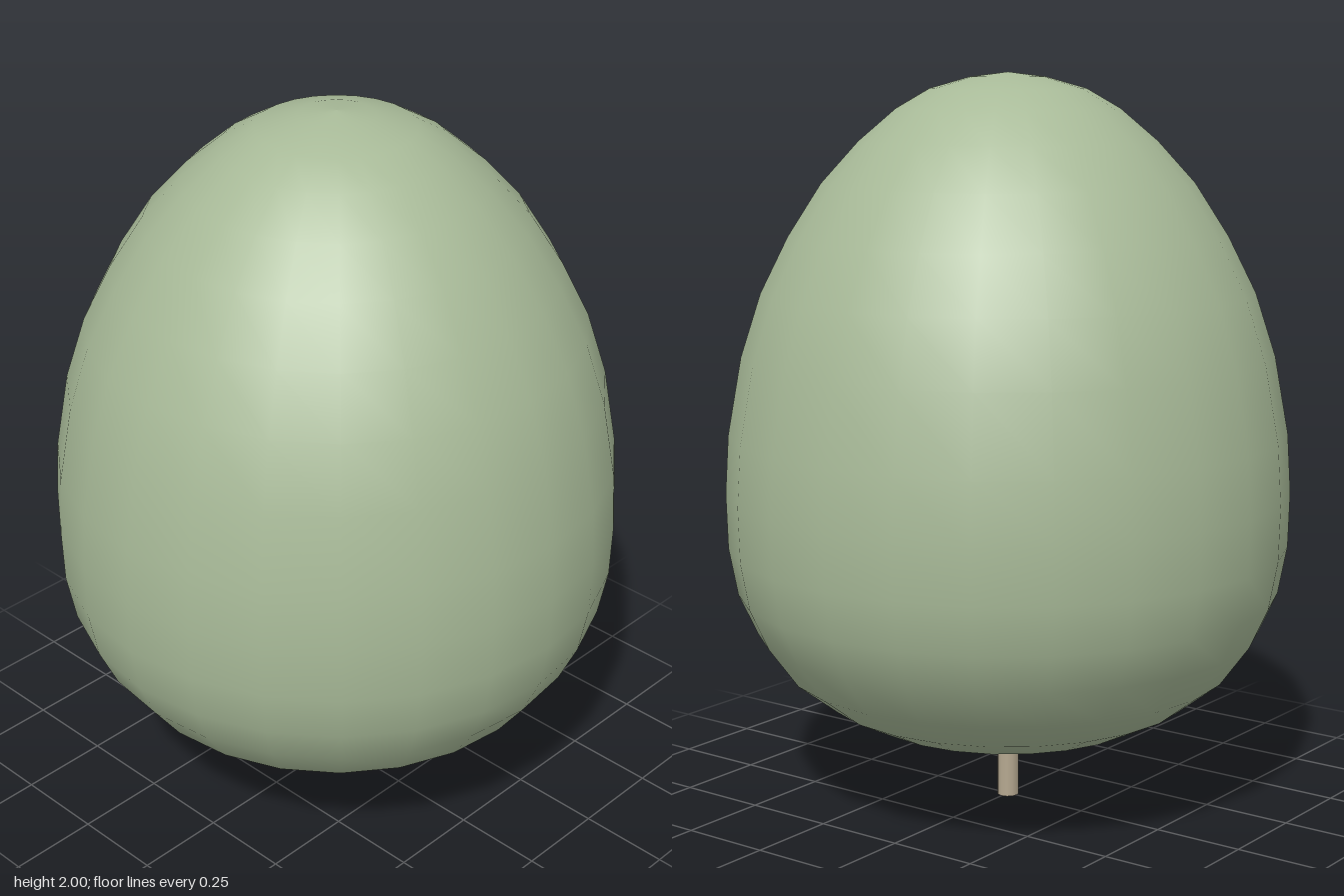
import * as THREE from 'three';

export function createModel() {
  const group = new THREE.Group();
  group.name = 'tree';

  // Egg-shaped crown: profile of [radius, height], bottom to top
  const profile = [
    [0, 0.17], [0.12, 0.18], [0.24, 0.197], [0.385, 0.238], [0.5, 0.295],
    [0.61, 0.38], [0.69, 0.49], [0.74, 0.6], [0.764, 0.73], [0.768, 0.88],
    [0.758, 1.04], [0.72, 1.25], [0.665, 1.42], [0.59, 1.57], [0.5, 1.71],
    [0.4, 1.82], [0.3, 1.905], [0.21, 1.957], [0.1, 1.988], [0, 2],
  ].map(([r, y]) => new THREE.Vector2(r, y));
  const crown = new THREE.Mesh(
    new THREE.LatheGeometry(profile, 24),
    new THREE.MeshStandardMaterial({ color: 0xa8ba98 })
  );
  crown.name = 'crown';
  group.add(crown);

  // Short thin trunk, its top sunk into the crown
  const trunk = new THREE.Mesh(
    new THREE.CylinderGeometry(0.03, 0.03, 0.2, 12),
    new THREE.MeshStandardMaterial({ color: 0xb5a890 })
  );
  trunk.name = 'trunk';
  trunk.position.y = 0.1;
  group.add(trunk);

  return group;
}
